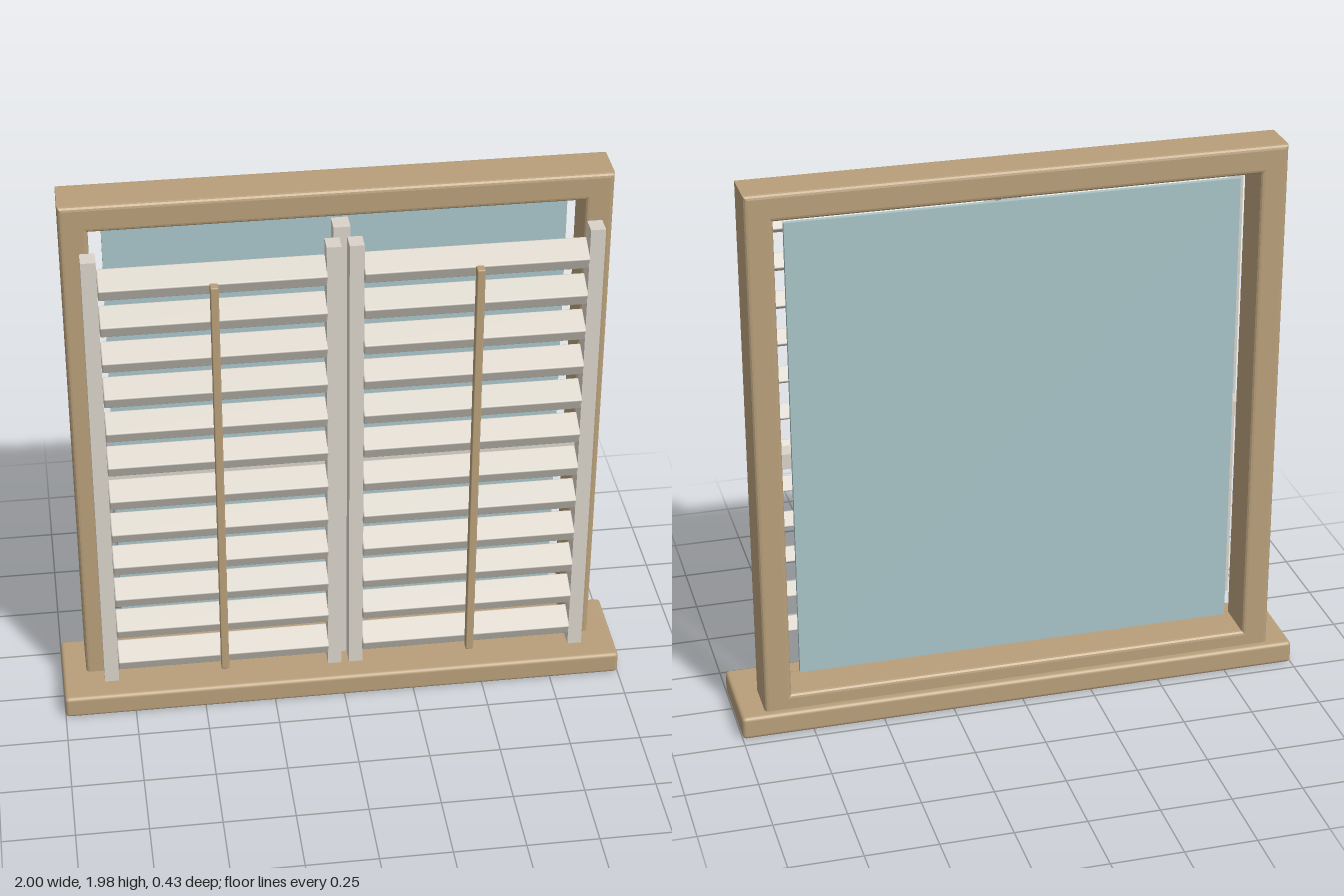
import * as THREE from 'three';
import { RoundedBoxGeometry } from 'three/addons/geometries/RoundedBoxGeometry.js';

const mat = (color) => new THREE.MeshStandardMaterial({ color });

export function createModel() {
  const model = new THREE.Group();
  model.name = 'shutteredWindow';
  const wood = mat(0xb89f7a), paint = mat(0xd8d2c8), glass = mat(0xa8c4c8), metal = mat(0x4a5a50);

  // Box given by its min/max corners; radius > 0 rounds the edges
  function box(parent, name, material, [x0, x1], [y0, y1], [z0, z1], radius = 0) {
    const size = [x1 - x0, y1 - y0, z1 - z0];
    const geo = radius ? new RoundedBoxGeometry(...size, 3, radius) : new THREE.BoxGeometry(...size);
    const mesh = new THREE.Mesh(geo, material);
    mesh.name = name;
    mesh.position.set((x0 + x1) / 2, (y0 + y1) / 2, (z0 + z1) / 2);
    parent.add(mesh);
    return mesh;
  }

  // Rectangle outline for shapes and holes
  const rect = (Type, w, y0, y1) => new Type([[-w, y0], [w, y0], [w, y1], [-w, y1]]
    .map(([x, y]) => new THREE.Vector2(x, y)));

  // Window frame: one bevelled ring
  const bevel = 0.014;
  const outline = rect(THREE.Shape, 0.915 - bevel, 0.04 + bevel, 1.975 - bevel);
  outline.holes.push(rect(THREE.Path, 0.82 + bevel, 0.137 - bevel, 1.88 + bevel));
  const frameGeo = new THREE.ExtrudeGeometry(outline, {
    depth: 0.165 - 2 * bevel, bevelSize: bevel, bevelThickness: bevel, bevelSegments: 3,
  });
  frameGeo.translate(0, 0, -0.187 + bevel);
  const frame = new THREE.Mesh(frameGeo, wood);
  frame.name = 'windowFrame';
  model.add(frame);

  // Sill, pane and glazing bars
  box(model, 'sill', wood, [-1, 1], [0, 0.083], [-0.215, 0.127], 0.014);
  box(model, 'glassPane', glass, [-0.775, 0.775], [0.178, 1.845], [-0.115, -0.098]);
  box(model, 'verticalGlazingBar', paint, [-0.028, 0.028], [0.137, 1.88], [-0.022, 0.046]);
  box(model, 'horizontalGlazingBar', paint, [-0.838, 0.838], [0.92, 0.975], [-0.022, 0.045]);

  // Latch behind the inner stile
  box(model, 'latch', metal, [0.043, 0.063], [0.97, 1.1], [0.044, 0.078]);

  // Two mirrored shutters
  const slatGeo = new RoundedBoxGeometry(0.744, 0.055, 0.091, 2, 0.005);
  for (const side of [-1, 1]) {
    const shutter = new THREE.Group();
    shutter.name = side > 0 ? 'leftShutter' : 'rightShutter';
    const span = (a, b) => (side > 0 ? [a, b] : [-b, -a]);
    box(shutter, 'innerStile', paint, span(0.013, 0.062), [0.16, 1.86], [0.075, 0.138]);
    box(shutter, 'outerStile', paint, span(0.805, 0.855), [0.16, 1.86], [0.075, 0.138]);
    box(shutter, 'tiltRod', wood, span(0.42, 0.447), [0.232, 1.782], [0.18, 0.215], 0.004);

    // Tilted slats, front edge down
    for (let i = 0; i < 12; i++) {
      const slat = new THREE.Mesh(slatGeo, paint);
      slat.name = 'slat';
      slat.position.set(side * 0.432, 0.251 + i * 0.1372, 0.108);
      slat.rotation.x = THREE.MathUtils.degToRad(27);
      shutter.add(slat);
    }
    model.add(shutter);
  }
  return model;
}
